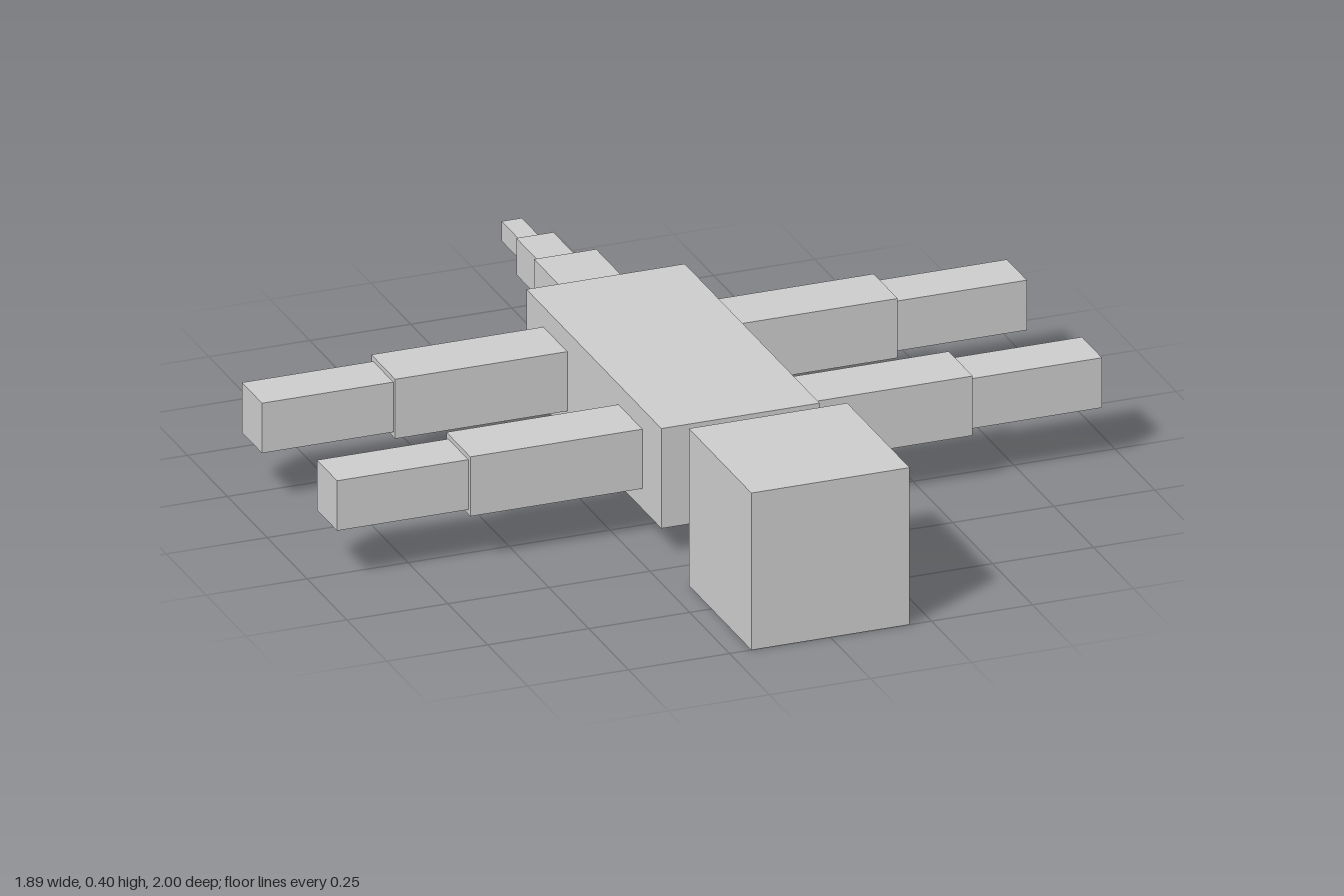
import * as THREE from 'three';

const MID_Y = 0.198; // every part is centred on this height

export function createModel() {
  const model = new THREE.Group();
  const material = new THREE.MeshStandardMaterial({ color: 0xcccccc, flatShading: true });

  function addBox(parent, name, [w, h, d], x, z) {
    const mesh = new THREE.Mesh(new THREE.BoxGeometry(w, h, d), material);
    mesh.name = name;
    mesh.position.set(x, MID_Y, z);
    parent.add(mesh);
  }

  // Box on the centre line running from z0 to z1
  function addSpinePart(name, width, height, z0, z1) {
    addBox(model, name, [width, height, z1 - z0], 0, (z0 + z1) / 2);
  }

  // Head, neck, body and tapering tail
  addSpinePart('head', 0.392, 0.396, 0.608, 1);
  addSpinePart('upperNeck', 0.07, 0.07, 0.525, 0.608);
  addSpinePart('lowerNeck', 0.092, 0.092, 0.435, 0.525);
  addSpinePart('body', 0.392, 0.252, -0.411, 0.435);
  addSpinePart('tailBase', 0.154, 0.154, -0.665, -0.411);
  addSpinePart('tailMiddle', 0.092, 0.092, -0.855, -0.665);
  addSpinePart('tailTip', 0.05, 0.05, -1, -0.855);

  // Four straight legs, mirrored left and right
  for (const [end, z] of [['front', 0.241], ['back', -0.23]]) {
    for (const [side, s] of [['Left', 1], ['Right', -1]]) {
      const leg = new THREE.Group();
      leg.name = `${end}${side}Leg`;
      addBox(leg, 'upperLeg', [0.426, 0.15, 0.15], s * 0.409, z);
      addBox(leg, 'lowerLeg', [0.325, 0.126, 0.126], s * 0.7845, z);
      model.add(leg);
    }
  }

  return model;
}
